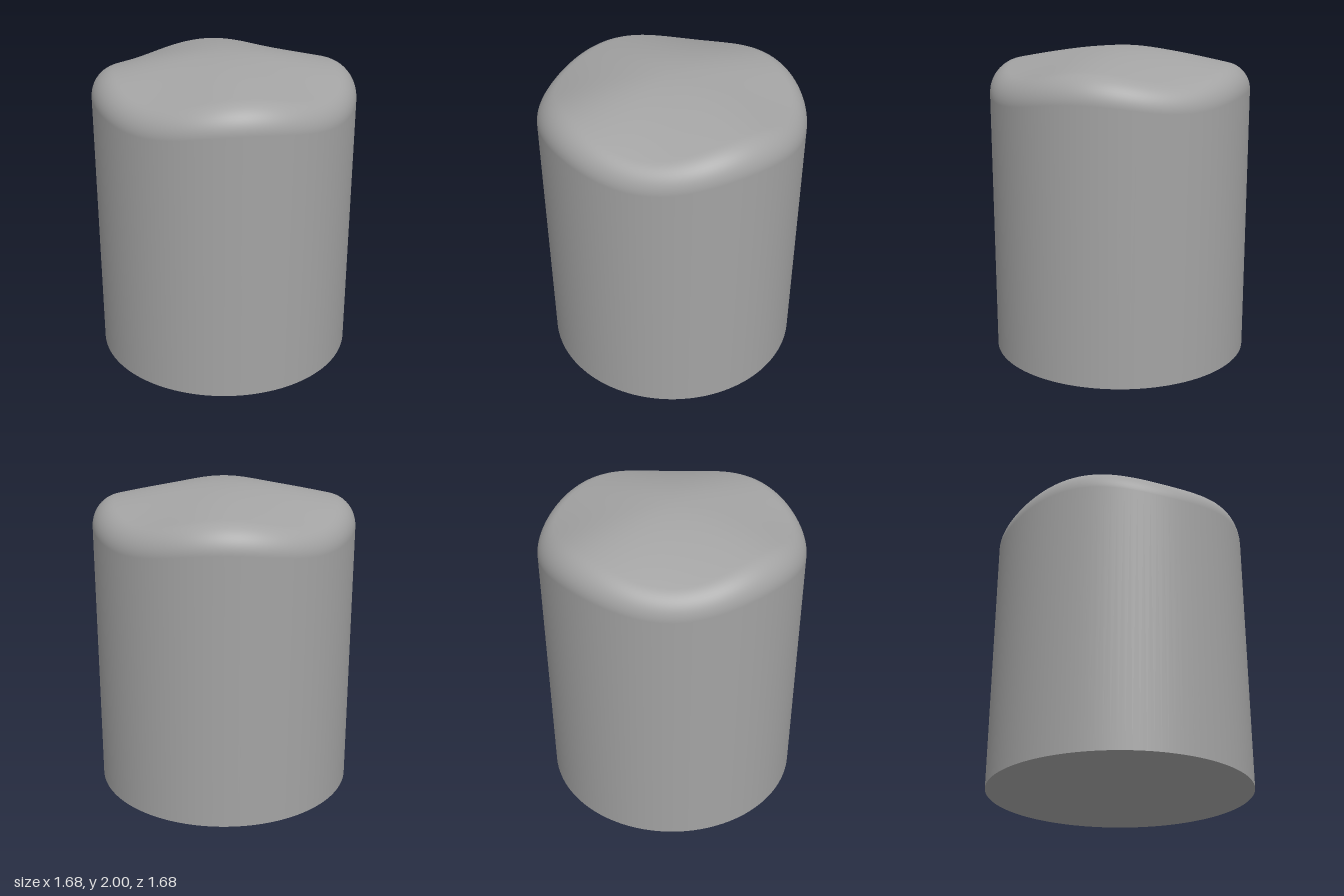
import * as THREE from 'three';
import { mergeVertices } from 'three/addons/utils/BufferGeometryUtils.js';

const RADIUS = 0.838, FILLET = 0.175, DIP = 0.055;
const SEGMENTS = 128, TOP_RINGS = 24, FILLET_RINGS = 12;

// Height of the crown: a soft cone that sinks between four crests
function crown(r, angle) {
  const sink = DIP * (1 - Math.cos(4 * angle)) / 2;
  return 2 - 0.23 * (Math.hypot(r, 0.42) - 0.42) - sink * (r / 0.7) ** 2.6;
}

// Rounded edge at one angle: start angle of the arc, its start radius and centre height
function edge(angle) {
  let start = 0, r = RADIUS - FILLET;
  for (let i = 0; i < 8; i++) {
    start = Math.atan((crown(r - 0.001, angle) - crown(r + 0.001, angle)) / 0.002);
    r = RADIUS - FILLET + FILLET * Math.sin(start);
  }
  return { start, r, centre: crown(r, angle) - FILLET * Math.cos(start) };
}

// Radius and height of ring j, counted from the middle of the top to the foot
function profile(j, angle, e) {
  if (j <= TOP_RINGS) {
    const r = e.r * j / TOP_RINGS;
    return [r, crown(r, angle)];
  }
  if (j <= TOP_RINGS + FILLET_RINGS) {
    const t = (j - TOP_RINGS) / FILLET_RINGS;
    const a = e.start + (Math.PI / 2 - e.start) * t;
    return [RADIUS - FILLET + FILLET * Math.sin(a), e.centre + FILLET * Math.cos(a)];
  }
  return [RADIUS, 0];
}

export function createModel() {
  const group = new THREE.Group();
  const material = new THREE.MeshStandardMaterial({ color: 0xa3a3a3 });

  // Crown, rounded edge and wall as one smooth skin
  const rings = TOP_RINGS + FILLET_RINGS + 1;
  let skin = new THREE.PlaneGeometry(1, 1, SEGMENTS, rings);
  const position = skin.attributes.position;
  for (let i = 0; i <= SEGMENTS; i++) {
    const angle = (i % SEGMENTS) / SEGMENTS * Math.PI * 2;
    const e = edge(angle);
    for (let j = 0; j <= rings; j++) {
      const [r, y] = profile(j, angle, e);
      position.setXYZ(j * (SEGMENTS + 1) + i, r * Math.sin(angle), y, r * Math.cos(angle));
    }
  }
  skin.deleteAttribute('uv');
  skin.deleteAttribute('normal');
  skin = mergeVertices(skin);
  skin.computeVertexNormals();
  const body = new THREE.Mesh(skin, material);
  body.name = 'body';
  group.add(body);

  // Flat underside
  const base = new THREE.Mesh(new THREE.CircleGeometry(RADIUS, SEGMENTS), material);
  base.rotation.x = Math.PI / 2;
  base.name = 'base';
  group.add(base);

  return group;
}
